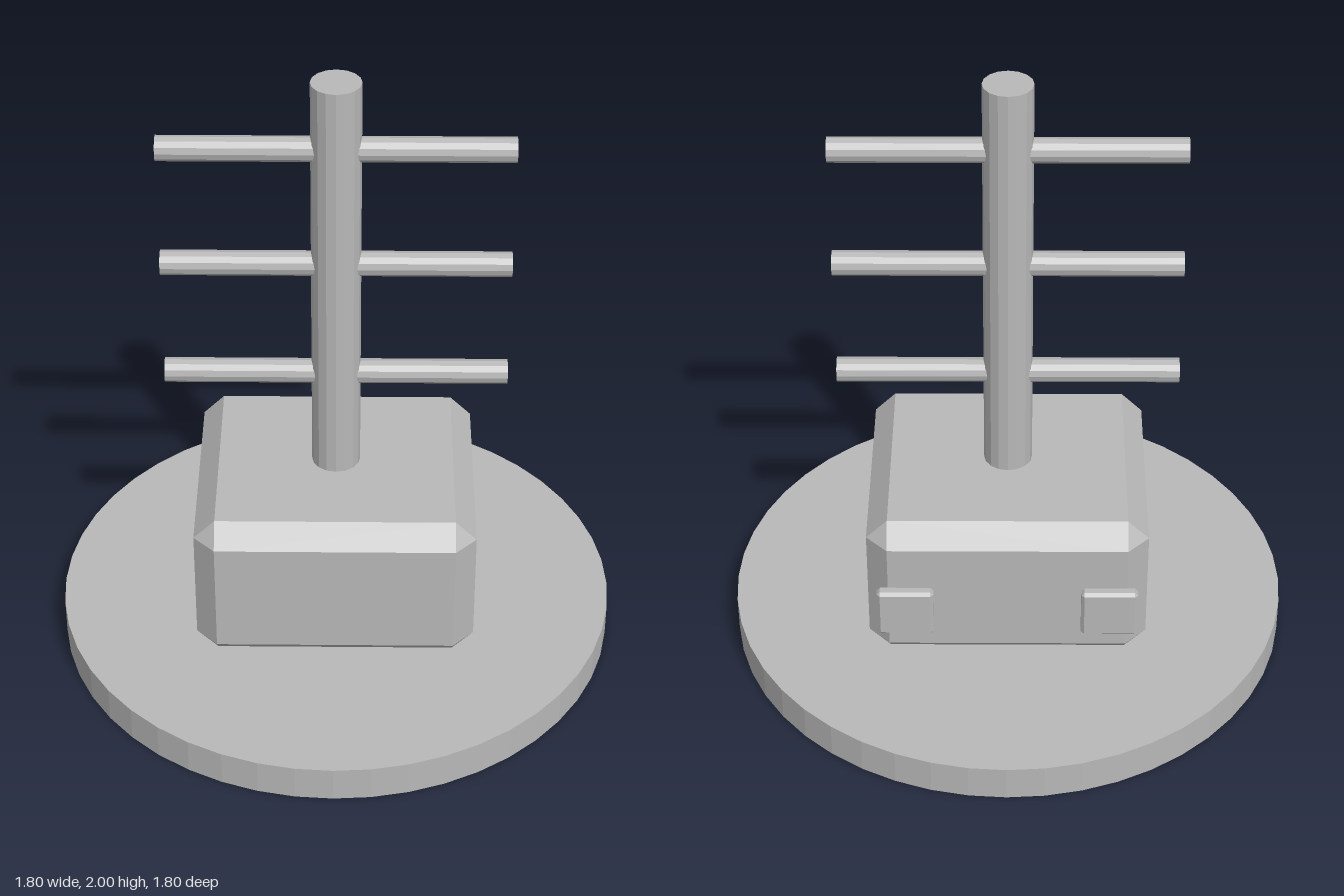
import * as THREE from 'three';
import { ConvexGeometry } from 'three/addons/geometries/ConvexGeometry.js';

// Box with every edge cut at 45 degrees and triangular corners
function chamferedBox(w, h, d, c) {
  const points = [];
  for (const sx of [-1, 1]) for (const sy of [-1, 1]) for (const sz of [-1, 1]) {
    const corner = new THREE.Vector3(sx * w / 2, sy * h / 2, sz * d / 2);
    const inner = new THREE.Vector3(sx * (w / 2 - c), sy * (h / 2 - c), sz * (d / 2 - c));
    points.push(
      new THREE.Vector3(corner.x, inner.y, inner.z),
      new THREE.Vector3(inner.x, corner.y, inner.z),
      new THREE.Vector3(inner.x, inner.y, corner.z)
    );
  }
  return new ConvexGeometry(points);
}

export function createModel() {
  const model = new THREE.Group();
  const grey = new THREE.MeshStandardMaterial({ color: 0xb8b8b8 });
  grey.name = 'grey';
  grey.flatShading = true;

  function add(name, geometry, x, y, z) {
    const mesh = new THREE.Mesh(geometry, grey);
    mesh.name = name;
    mesh.position.set(x, y, z);
    model.add(mesh);
    return mesh;
  }

  // Round base plate
  add('base', new THREE.CylinderGeometry(0.9, 0.9, 0.117, 48), 0, 0.0585, 0);

  // Chamfered body block
  add('body', chamferedBox(0.886, 0.515, 0.8, 0.067), 0, 0.3745, 0);

  // Pair of small blocks on the back of the body
  for (const side of [-1, 1]) {
    add(side > 0 ? 'leftBackBlock' : 'rightBackBlock',
      chamferedBox(0.178, 0.168, 0.042, 0.01), side * 0.321, 0.341, -0.422);
  }

  // Upright mast
  add('mast', new THREE.CylinderGeometry(0.077, 0.077, 1.38, 16), 0, 1.31, 0);

  // Cross rods, one on each side at three heights
  for (const y of [0.974, 1.374, 1.776]) {
    for (const side of [-1, 1]) {
      const rod = add(side > 0 ? 'leftRod' : 'rightRod',
        new THREE.CylinderGeometry(0.039, 0.039, 0.477, 12), side * 0.2985, y, 0);
      rod.rotation.z = Math.PI / 2;
    }
  }

  return model;
}
